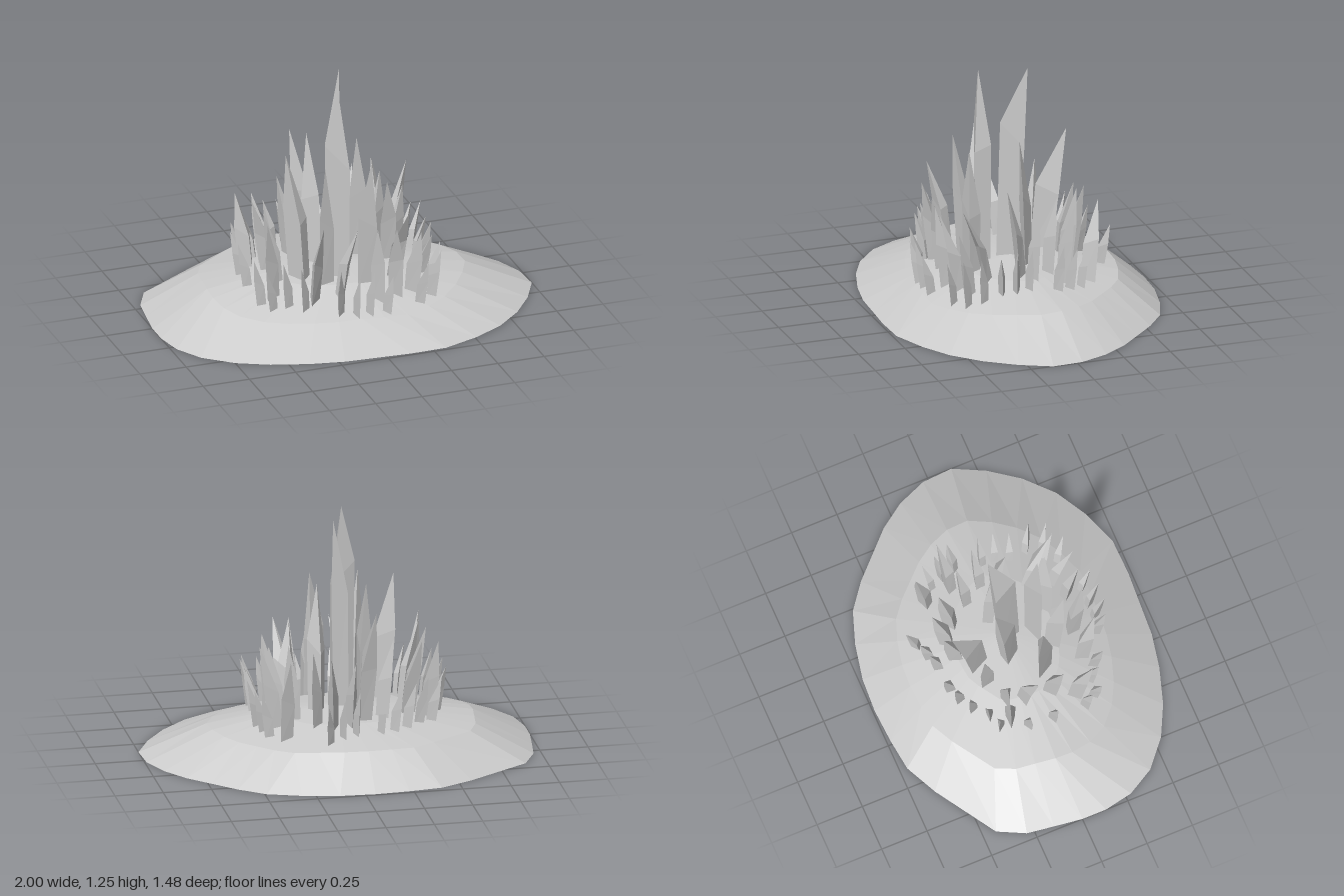
import * as THREE from 'three';

const material = new THREE.MeshStandardMaterial({ color: 0xcccccc, flatShading: true, side: THREE.DoubleSide });

// Outline of the mound on the ground, as [x, z], from the left side round the back
const rim = [
  [0.99, -0.03], [0.93, -0.18], [0.84, -0.31], [0.73, -0.42], [0.62, -0.53], [0.49, -0.63],
  [0.32, -0.69], [0.13, -0.73], [-0.05, -0.74], [-0.23, -0.73], [-0.4, -0.71], [-0.57, -0.63],
  [-0.89, -0.43], [-0.96, -0.29], [-0.98, -0.15], [-1, 0], [-1, 0.13], [-0.97, 0.28],
  [-0.89, 0.42], [-0.75, 0.54], [-0.59, 0.62], [-0.4, 0.68], [-0.22, 0.715], [-0.04, 0.725],
  [0.13, 0.735], [0.32, 0.73], [0.51, 0.66], [0.67, 0.57], [0.81, 0.44], [0.92, 0.29], [1, 0.13],
];

// Short crystals of the outer ring, [x, z] of the foot
const outerFeet = [
  [0.12, -0.43], [0.04, -0.39], [-0.03, -0.37], [-0.16, -0.36], [-0.23, -0.34], [-0.3, -0.3],
  [-0.37, -0.24], [-0.44, -0.21], [-0.49, -0.08], [-0.5, 0.05], [-0.49, 0.23], [-0.45, 0.29],
  [-0.37, 0.3], [-0.3, 0.35], [-0.14, 0.43], [-0.06, 0.46], [0.01, 0.46], [0.1, 0.46],
  [0.29, 0.41], [0.37, 0.36], [0.39, 0.28], [0.38, 0.18], [0.4, 0.11], [0.4, 0.04],
  [0.43, -0.1], [0.41, -0.17], [0.39, -0.24],
];

// Medium crystals: foot x, z, tip x, z, tip height
const middle = [
  [-0.43, -0.15, -0.49, -0.18, 0.6], [-0.33, -0.13, -0.41, -0.16, 0.6], [-0.35, -0.05, -0.46, -0.01, 0.62],
  [-0.36, 0.09, -0.45, 0.13, 0.61], [-0.42, 0.2, -0.48, 0.28, 0.61], [-0.24, 0.31, -0.22, 0.4, 0.6],
  [-0.1, 0.32, -0.04, 0.41, 0.57], [0.19, 0.34, 0.16, 0.44, 0.56], [0.28, 0.32, 0.31, 0.39, 0.5],
  [0.22, 0.2, 0.26, 0.35, 0.6], [0.25, 0.03, 0.23, 0.1, 0.67], [0.3, -0.02, 0.36, -0.03, 0.58],
  [0.24, -0.12, 0.28, -0.15, 0.62], [0.34, -0.16, 0.44, -0.19, 0.64], [0.32, -0.3, 0.31, -0.36, 0.6],
  [0.15, -0.23, 0.18, -0.29, 0.62], [0.07, -0.28, 0.1, -0.36, 0.6], [-0.02, -0.27, -0.03, -0.35, 0.57],
  [-0.2, -0.18, -0.25, -0.22, 0.64], [0.09, 0.37, 0.06, 0.43, 0.57],
];

// Tall crystals: foot x, z, tip x, z, tip height, radius, direction of the widest corner
const tall = [
  [-0.04, 0.15, -0.055, 0.155, 1.24, 0.08, Math.PI], [-0.015, 0, 0.035, -0.08, 1.25, 0.078, 1.65],
  [-0.24, 0.11, -0.31, 0.08, 0.89, 0.072, -2.4], [-0.12, -0.03, -0.13, -0.11, 0.91, 0.065, 1.3],
  [-0.09, -0.2, -0.135, -0.35, 0.83, 0.075, 1.5], [0.07, 0.24, 0.09, 0.255, 0.86, 0.065, 2.8],
  [0.11, -0.05, 0.105, -0.01, 0.89, 0.055, 0.5], [-0.13, 0.2, -0.16, 0.255, 0.865, 0.055, 2.6],
];

// Small seeded generator, 0..1
let seed = 7;
const rand = () => (seed = (seed * 16807) % 2147483647) / 2147483647;

// Height of the mound's upper surface; it drops further at the front and at the back left
function groundY(x, z) {
  const r = Math.hypot((x + 0.02) / 0.68, (z + 0.02) / 0.52);
  const dip = Math.pow(Math.max(0, Math.cos(Math.atan2(-z, x) - 0.55)), 8);
  const drop = 0.075 + 0.05 * Math.max(0, z / 0.5) + 0.03 * dip;
  return 0.24 - drop * Math.pow(r, 1.7);
}

function meshFrom(name, points, index) {
  const geometry = new THREE.BufferGeometry();
  geometry.setAttribute('position', new THREE.Float32BufferAttribute(points.flat(), 3));
  geometry.setIndex(index);
  const flat = geometry.toNonIndexed();
  flat.computeVertexNormals();
  const mesh = new THREE.Mesh(flat, material);
  mesh.name = name;
  return mesh;
}

// Open-bottomed mound: ground ring, shoulder ring, upper ring and summit
function buildMound() {
  const n = rim.length;
  const points = rim.map(([x, z]) => [x, 0, z]);
  for (const s of [1, 0.5]) {
    for (const [x, z] of rim) {
      const px = (x * 0.68 - 0.02) * s, pz = (z * 0.71 - 0.02) * s;
      points.push([px, groundY(px, pz), pz]);
    }
  }
  points.push([0, 0.24, 0]);
  const index = [];
  for (let i = 0; i < n; i++) {
    const j = (i + 1) % n;
    for (const k of [0, n]) {
      index.push(k + i, k + j, k + n + i, k + j, k + n + j, k + n + i);
    }
    index.push(2 * n + i, 2 * n + j, 3 * n);
  }
  return meshFrom('mound', points, index);
}

// Three-sided crystal: leaning shaft up to a shoulder, then an off-centre point
function buildShard(name, [x, z, tipX, tipZ, height], radius, shoulder, facing) {
  const foot = groundY(x, z) - 0.025;
  const points = [];
  for (const [t, lean, size] of [[0, 0, 0.9], [shoulder, 0.3, 1]]) {
    for (let i = 0; i < 3; i++) {
      const a = facing + [0, 2.3, 3.9][i];
      const r = radius * size * [1, 0.8, 0.7][i];
      const y = foot + (height - foot) * t * [1.1, 0.95, 0.9][i];
      points.push([x + (tipX - x) * lean + Math.cos(a) * r, y, z + (tipZ - z) * lean + Math.sin(a) * r]);
    }
  }
  points.push([tipX, height, tipZ]);
  const index = [];
  for (let i = 0; i < 3; i++) {
    const j = (i + 1) % 3;
    index.push(i, i + 3, j, j, i + 3, j + 3, i + 3, 6, j + 3);
  }
  return meshFrom(name, points, index);
}

export function createModel() {
  const model = new THREE.Group();
  model.name = 'crystalMound';
  model.add(buildMound());

  const crystals = new THREE.Group();
  crystals.name = 'crystals';
  // widest corner points roughly outwards
  const outwards = (x, z) => Math.atan2(z, x) + (rand() - 0.5) * 0.8;
  for (const [x, z] of outerFeet) {
    const lean = 0.06 / Math.hypot(x, z);
    const height = groundY(x, z) + 0.2 + rand() * 0.05;
    const shard = [x, z, x * (1 + lean), z * (1 + lean), height];
    crystals.add(buildShard('shortCrystal', shard, 0.034, 0.5, outwards(x, z)));
  }
  for (const m of middle) crystals.add(buildShard('mediumCrystal', m, 0.05, 0.5, outwards(m[0], m[1])));
  for (const t of tall) crystals.add(buildShard('tallCrystal', t, t[5], t[4] > 1 ? 0.65 : 0.52, t[6]));
  model.add(crystals);
  return model;
}
